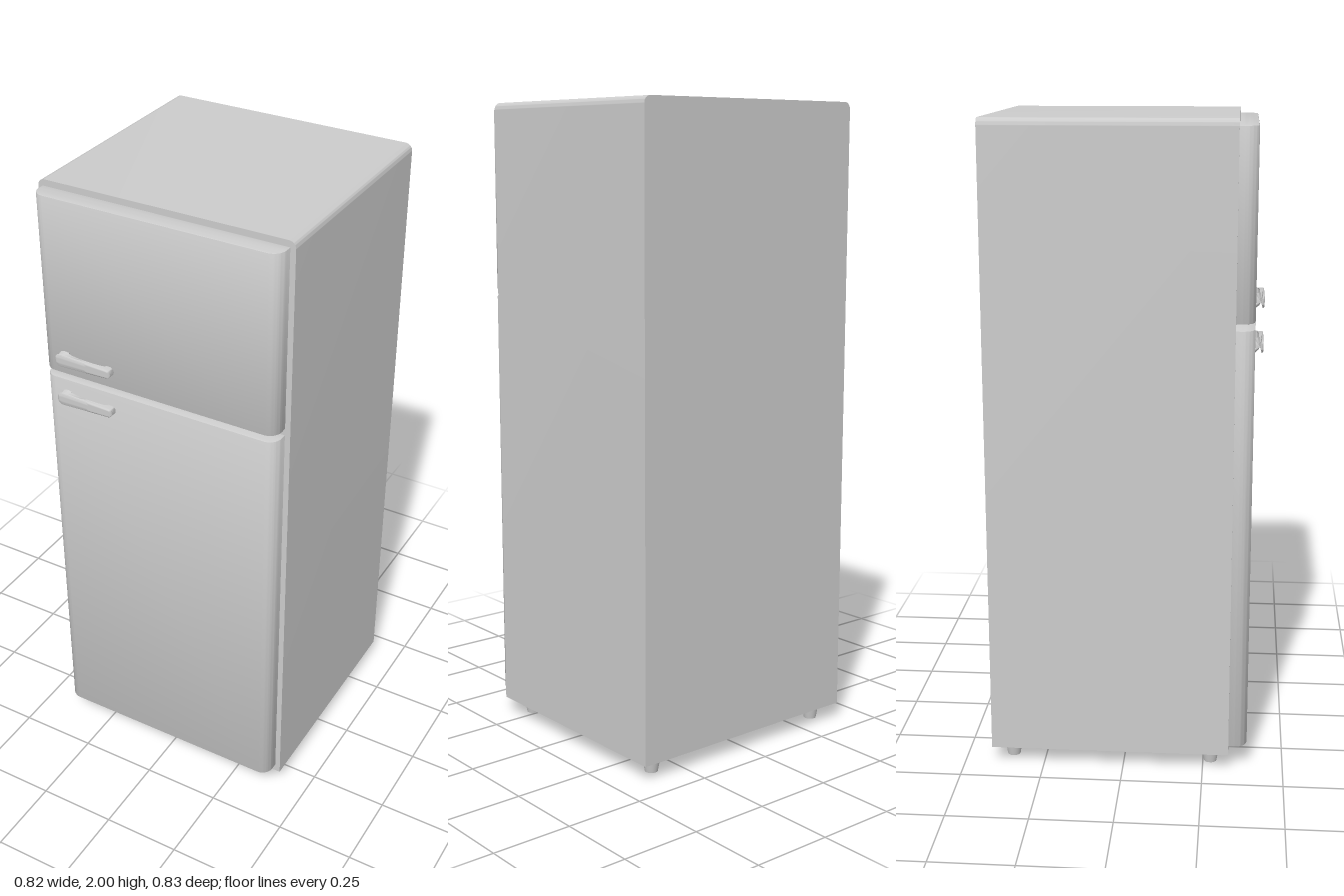
import * as THREE from 'three';
import { toCreasedNormals } from 'three/addons/utils/BufferGeometryUtils.js';

const material = new THREE.MeshStandardMaterial({ color: 0xcccccc });
const BODY_FRONT = 0.33, DOOR_FRONT = 0.387;

function addMesh(parent, name, geometry, x = 0, y = 0, z = 0) {
  const mesh = new THREE.Mesh(geometry, material);
  mesh.name = name;
  mesh.position.set(x, y, z);
  parent.add(mesh);
  return mesh;
}

// Cabinet: front outline with rounded top corners, extruded to full depth
function cabinetGeometry() {
  const w = 0.408, bottom = 0.05, top = 2, r = 0.022, back = -0.415;
  const s = new THREE.Shape();
  s.moveTo(-w, bottom);
  s.lineTo(w, bottom);
  s.lineTo(w, top - r);
  s.absarc(w - r, top - r, r, 0, Math.PI / 2);
  s.lineTo(-w + r, top);
  s.absarc(-w + r, top - r, r, Math.PI / 2, Math.PI);
  s.closePath();
  const g = new THREE.ExtrudeGeometry(s, { depth: BODY_FRONT - back, bevelEnabled: false, curveSegments: 8 });
  g.translate(0, 0, back);
  return toCreasedNormals(g, 0.6);
}

// Door: plan outline with rounded front corners, extruded upwards
function doorGeometry(bottom, top) {
  const b = 0.003, left = -0.395 + b, right = 0.391 - b, r = 0.036;
  const back = -BODY_FRONT, front = -DOOR_FRONT + b;
  const s = new THREE.Shape();
  s.moveTo(right, back);
  s.lineTo(left, back);
  s.lineTo(left, front + r);
  s.absarc(left + r, front + r, r, Math.PI, Math.PI * 1.5);
  s.lineTo(right - r, front);
  s.absarc(right - r, front + r, r, Math.PI * 1.5, Math.PI * 2);
  s.closePath();
  const g = new THREE.ExtrudeGeometry(s, {
    depth: top - bottom - 2 * b, bevelThickness: b, bevelSize: b, bevelSegments: 2, curveSegments: 10,
  });
  g.rotateX(-Math.PI / 2);
  g.translate(0, bottom + b, 0);
  return toCreasedNormals(g, 0.6);
}

// Handle: arched bridge in plan, its height following a tapered capsule
function handleGeometry() {
  const x0 = -0.337, x1 = -0.143, r0 = 0.021, r1 = 0.014, reach = 0.025, c = 0.007;
  const halfHeight = (x) => {
    const a = x0 + r0, b = x1 - r1;
    if (x < a) return Math.sqrt(Math.max(0, r0 * r0 - (a - x) ** 2));
    if (x > b) return Math.sqrt(Math.max(0, r1 * r1 - (x - b) ** 2));
    return THREE.MathUtils.lerp(r0, r1, (x - a) / (b - a));
  };
  const points = [];
  const run = (from, to, n, z) => {
    for (let i = 0; i < n; i++) {
      const k = (1 - Math.cos((Math.PI * i) / n)) / 2;
      const x = from + (to - from) * k;
      points.push(new THREE.Vector2(x, -z(x, i / n)));
    }
  };
  const outer = (x) => {
    const d = Math.min(x - x0, x1 - x, c);
    return reach - c + Math.sqrt(Math.max(0, c * c - (c - d) ** 2));
  };
  run(x0, -0.298, 8, () => 0);
  run(-0.298, -0.168, 16, (x, t) => 0.015 * Math.pow(Math.sin(Math.PI * t), 0.6));
  run(-0.168, x1, 8, () => 0);
  points.push(new THREE.Vector2(x1, 0));
  run(x1, x0, 36, outer);
  points.push(new THREE.Vector2(x0, -outer(x0)));

  const g = new THREE.ExtrudeGeometry(new THREE.Shape(points), { depth: 2, steps: 10, bevelEnabled: false });
  g.rotateX(-Math.PI / 2);
  const p = g.attributes.position;
  for (let i = 0; i < p.count; i++) {
    const t = p.getY(i) - 1;
    p.setY(i, Math.sin((t * Math.PI) / 2) * halfHeight(p.getX(i)));
    p.setZ(i, p.getZ(i) * (1 - 0.22 * t ** 4));
  }
  return toCreasedNormals(g, 0.8);
}

export function createModel() {
  const model = new THREE.Group();
  model.name = 'refrigerator';

  addMesh(model, 'cabinet', cabinetGeometry());
  addMesh(model, 'freezerDoor', doorGeometry(1.415, 1.98));
  addMesh(model, 'fridgeDoor', doorGeometry(0.073, 1.395));

  const handle = handleGeometry();
  addMesh(model, 'freezerHandle', handle, 0, 1.472, DOOR_FRONT);
  addMesh(model, 'fridgeHandle', handle, 0, 1.338, DOOR_FRONT);

  // Four tapered feet
  const foot = new THREE.CylinderGeometry(0.029, 0.02, 0.05, 24);
  for (const x of [-0.342, 0.338]) {
    for (const z of [-0.355, 0.273]) addMesh(model, 'foot', foot, x, 0.025, z);
  }
  return model;
}
